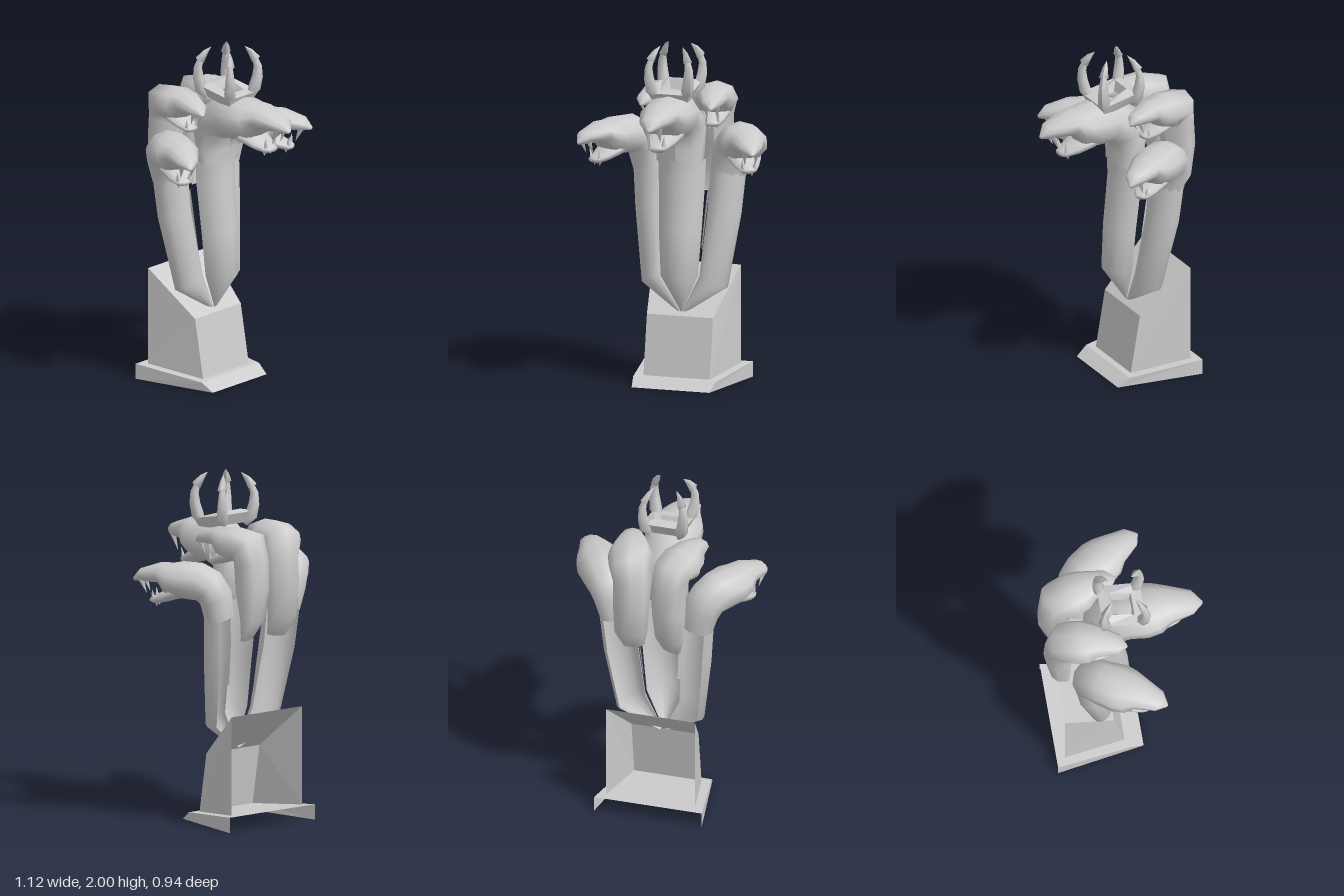
import * as THREE from 'three';

const V = (x, y, z) => new THREE.Vector3(x, y, z);
const PI = Math.PI;

// Skin elliptical rings, or arcs of them, [x, y, z, halfWidth, halfHeight] along a path
function loft(sections, side, sides = 10, from = -PI / 2, to = 1.5 * PI) {
  const pts = sections.map(s => V(s[0], s[1], s[2]));
  const pos = [], idx = [], n = sides + 1;
  sections.forEach((sec, i) => {
    const t = pts[Math.min(i + 1, pts.length - 1)].clone().sub(pts[Math.max(i - 1, 0)]).normalize();
    const s = side.clone().addScaledVector(t, -t.dot(side)).normalize();
    const u = t.clone().cross(s);
    for (let j = 0; j < n; j++) {
      const a = from + (j / sides) * (to - from);
      const p = pts[i].clone().addScaledVector(s, Math.cos(a) * sec[3]).addScaledVector(u, Math.sin(a) * sec[4]);
      pos.push(p.x, p.y, p.z);
      if (i < sections.length - 1 && j < sides) {
        const A = i * n + j;
        idx.push(A, A + 1, A + 1 + n, A, A + 1 + n, A + n);
      }
    }
  });
  const g = new THREE.BufferGeometry();
  g.setAttribute('position', new THREE.Float32BufferAttribute(pos, 3));
  g.setIndex(idx);
  g.computeVertexNormals();
  return g;
}

// Flat four-cornered panels with hard edges
function panels(quads) {
  const pos = [];
  for (const [a, b, c, d] of quads) pos.push(...a, ...b, ...c, ...a, ...c, ...d);
  const g = new THREE.BufferGeometry();
  g.setAttribute('position', new THREE.Float32BufferAttribute(pos, 3));
  g.computeVertexNormals();
  return g;
}

// Open-backed block: front face, two sides and a lid
function openBlock(fb, ft, bt, bb) {
  const m = p => [-p[0], p[1], p[2]];
  return panels([
    [m(fb), fb, ft, m(ft)],
    [m(ft), ft, bt, m(bt)],
    [fb, bb, bt, ft],
    [m(bb), m(fb), m(ft), m(bt)],
  ]);
}

// Head shapes, with the snout tip at (0, 1.58, 0.47)
const SKULL = [
  [0, 1.59, 0.02, 0.15, 0.13], [0, 1.595, 0.13, 0.163, 0.125],
  [0, 1.605, 0.21, 0.15, 0.105], [0, 1.635, 0.275, 0.115, 0.07], [0, 1.612, 0.41, 0.073, 0.043],
  [0, 1.58, 0.465, 0.012, 0.012], [0, 1.58, 0.47, 0.001, 0.001],
];
const JAW = [
  [0, 1.55, 0.06, 0.1, 0.06], [0, 1.51, 0.18, 0.115, 0.05], [0, 1.472, 0.26, 0.085, 0.036],
  [0, 1.452, 0.32, 0.055, 0.026], [0, 1.452, 0.345, 0.035, 0.014], [0, 1.452, 0.347, 0.001, 0.001],
];

export function createModel() {
  const model = new THREE.Group();
  const stone = new THREE.MeshStandardMaterial({ color: 0xcccccc, side: THREE.DoubleSide });
  stone.name = 'grey stone';
  const add = (parent, name, geo) => {
    const mesh = new THREE.Mesh(geo, stone);
    mesh.name = name;
    parent.add(mesh);
  };

  // Pedestal, open at the back and below
  add(model, 'pedestalFoot', openBlock([0.235, 0, 0.09], [0.25, 0.05, 0.02], [0.32, 0.09, -0.42], [0.32, 0, -0.42]));
  add(model, 'pedestalBlock', openBlock([0.2, 0.053, -0.015], [0.2, 0.4, -0.075], [0.265, 0.66, -0.372], [0.265, 0.088, -0.372]));

  // One serpent: upper neck path, then a head placed by tip, yaw and scale
  function serpent(name, neck, tip, yaw, scale, sides) {
    const group = new THREE.Group();
    group.name = name;
    const m = new THREE.Matrix4().makeTranslation(...tip)
      .multiply(new THREE.Matrix4().makeRotationY(yaw))
      .multiply(new THREE.Matrix4().makeScale(scale, scale, scale))
      .multiply(new THREE.Matrix4().makeTranslation(0, -1.58, -0.47));
    const place = list => list.map(([x, y, z, w, h]) => [...V(x, y, z).applyMatrix4(m).toArray(), w * scale, h * scale]);
    const side = V(Math.cos(yaw), 0, -Math.sin(yaw));
    add(group, 'neckAndSkull', loft([...neck, ...place(SKULL)], side, sides));
    add(group, 'lowerJaw', loft(place(JAW), side));
    for (const s of [-1, 1]) {
      const fang = (from, to, r) => loft(place([[...from, r, r], [...to, 0.001, 0.001]]), side, 4);
      add(group, 'upperFang', fang([s * 0.04, 1.595, 0.405], [s * 0.035, 1.5, 0.365], 0.022));
      add(group, 'lowerFang', fang([s * 0.035, 1.455, 0.315], [s * 0.045, 1.525, 0.325], 0.018));
      add(group, 'chinSpike', fang([s * 0.03, 1.455, 0.295], [s * 0.025, 1.412, 0.3], 0.022));
    }
    model.add(group);
    // Lower neck: a shell open at the back, wrapping past the sides by extra
    return (shell, extra) => add(group, 'lowerNeckShell', loft(shell, side, 8, PI - extra, 2 * PI + extra));
  }

  serpent('centreSerpent', [
    [0, 1.3, -0.075, 0.14, 0.08], [0, 1.38, -0.09, 0.143, 0.1], [0, 1.52, -0.1, 0.145, 0.14],
  ], [0, 1.58, 0.47], 0, 1, 10)([
    [0, 0.42, -0.1, 0.002, 0.002], [0, 0.64, -0.075, 0.108, 0.125], [0, 0.9, -0.09, 0.126, 0.125],
    [0, 1.2, -0.12, 0.138, 0.123], [0, 1.32, -0.12, 0.142, 0.125],
  ], 0);

  for (const s of [1, -1]) {
    const label = s > 0 ? 'left' : 'right';
    const flip = list => list.map(([x, ...rest]) => [s * x, ...rest]);
    serpent(label + 'OuterSerpent', flip([
      [0.236, 1.22, -0.23, 0.105, 0.085], [0.262, 1.34, -0.23, 0.118, 0.095], [0.295, 1.4, -0.205, 0.123, 0.105],
    ]), [s * 0.53, 1.42, 0.18], s * 0.52, 0.87, 10)(flip([
      [0.01, 0.42, -0.11, 0.01, 0.01], [0.18, 0.6, -0.14, 0.09, 0.06], [0.222, 1.0, -0.21, 0.1, 0.085],
      [0.238, 1.24, -0.23, 0.105, 0.085],
    ]), 0.45);
    // Rear necks stop short behind the others
    serpent(label + 'RearSerpent', flip([
      [0.11, 1.09, -0.325, 0.06, 0.015], [0.113, 1.21, -0.378, 0.095, 0.055], [0.112, 1.39, -0.377, 0.105, 0.093],
      [0.11, 1.54, -0.365, 0.11, 0.095],
    ]), [s * 0.212, 1.63, 0], s * 0.24, 0.81, 8);
    // Sliver of rear neck in the gap between the front necks
    add(model, label + 'RearNeckStrip', panels([flip([
      [0.155, 1.16, -0.15], [0.118, 0.78, -0.12], [0.1, 0.8, -0.16], [0.12, 1.1, -0.2],
    ])]));
  }

  // Crown: a flared square band, higher at the back, with four hooked horns
  const crown = new THREE.Group();
  crown.name = 'crown';
  const corners = [[1, 1], [1, -1], [-1, -1], [-1, 1]];
  const at = (i, r, y) => {
    const [cx, cz] = corners[i % 4];
    return [cx * r, y - cz * 0.024, cz * r];
  };
  const quads = [];
  for (let i = 0; i < 4; i++) {
    quads.push([at(i, 0.095, 1.69), at(i + 1, 0.095, 1.69), at(i + 1, 0.125, 1.755), at(i, 0.125, 1.755)]);
    quads.push([at(i, 0.125, 1.755), at(i + 1, 0.125, 1.755), at(i + 1, 0.065, 1.765), at(i, 0.065, 1.765)]);
    quads.push([at(i, 0.065, 1.765), at(i + 1, 0.065, 1.765), at(i + 1, 0.045, 1.71), at(i, 0.045, 1.71)]);
  }
  add(crown, 'crownBand', panels(quads));
  for (const [cx, cz] of corners) {
    const path = list => list.map(([r, y, w]) => [cx * r, y, cz * r, w, w]);
    const across = V(cx, 0, -cz).normalize();
    add(crown, 'crownHorn', loft(path([
      [0.085, 1.7, 0.015], [0.108, 1.75, 0.036], [0.12, 1.82, 0.031], [0.121, 1.88, 0.024], [0.106, 1.945, 0.014], [0.1, 1.95, 0.001],
    ]), across, 6));
    add(crown, 'hornBarb', loft(path([
      [0.118, 1.915, 0.001], [0.114, 1.92, 0.028], [0.09, 1.97, 0.016], [0.068, 2.0, 0.001],
    ]), across, 4));
  }
  model.add(crown);
  return model;
}
